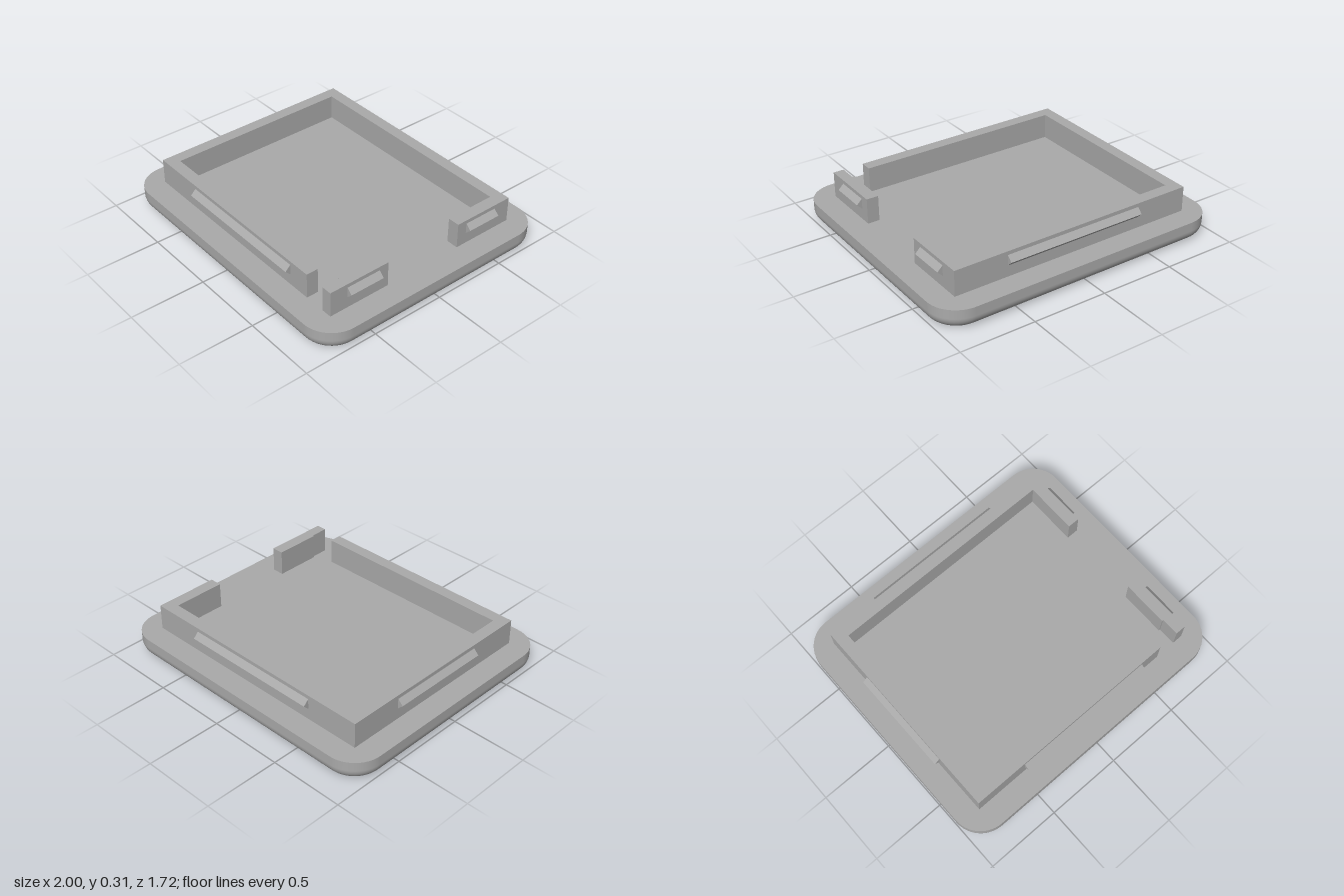
import * as THREE from 'three';

const grey = new THREE.MeshStandardMaterial({ color: 0xaaaaaa });
grey.name = 'plain grey';

const HALF_X = 1, HALF_Z = 0.86, CORNER = 0.2, FILLET = 0.08, BASE_TOP = 0.14, WALL_TOP = 0.31;

function addMesh(parent, name, geometry) {
  const mesh = new THREE.Mesh(geometry, grey);
  mesh.name = name;
  parent.add(mesh);
  return mesh;
}

// Rounded rectangle outline, shrunk by inset: points with their outward direction
function outline(inset) {
  const points = [], steps = 12, r = CORNER - inset;
  const signs = [[1, 1], [-1, 1], [-1, -1], [1, -1]];
  signs.forEach(([sx, sz], q) => {
    for (let i = 0; i <= steps; i++) {
      const a = (q + i / steps) * Math.PI / 2;
      const nx = Math.cos(a), nz = Math.sin(a);
      points.push({ x: sx * (HALF_X - CORNER) + r * nx, z: sz * (HALF_Z - CORNER) + r * nz, nx, nz });
    }
  });
  return points;
}

// Smooth rim of the base: straight side, then a rounded lower edge
function rimGeometry() {
  const rings = [{ y: BASE_TOP, inset: 0, t: 0 }];
  for (let k = 0; k <= 10; k++) {
    const t = k / 10 * Math.PI / 2;
    rings.push({ y: FILLET * (1 - Math.sin(t)), inset: FILLET * (1 - Math.cos(t)), t });
  }
  const position = [], normal = [], index = [];
  const n = outline(0).length;
  rings.forEach(({ y, inset, t }, j) => {
    outline(inset).forEach((p, i) => {
      position.push(p.x, y, p.z);
      normal.push(p.nx * Math.cos(t), -Math.sin(t), p.nz * Math.cos(t));
      if (j === rings.length - 1) return;
      const a = j * n + i, b = j * n + (i + 1) % n;
      index.push(a, b, a + n, b, b + n, a + n);
    });
  });
  const geometry = new THREE.BufferGeometry();
  geometry.setAttribute('position', new THREE.Float32BufferAttribute(position, 3));
  geometry.setAttribute('normal', new THREE.Float32BufferAttribute(normal, 3));
  geometry.setIndex(index);
  return geometry;
}

// Flat face of the base, facing up or down
function capGeometry(inset, up) {
  const shape = new THREE.Shape(outline(inset).map(p => new THREE.Vector2(p.x, p.z)));
  return new THREE.ShapeGeometry(shape).rotateX(up ? -Math.PI / 2 : Math.PI / 2);
}

// Upright wall standing on the base, from a plan of [x, z] corners
function wallGeometry(plan) {
  const shape = new THREE.Shape(plan.map(([x, z]) => new THREE.Vector2(x, -z)));
  return new THREE.ExtrudeGeometry(shape, { depth: WALL_TOP - BASE_TOP, bevelEnabled: false })
    .rotateX(-Math.PI / 2).translate(0, BASE_TOP, 0);
}

// Triangular snap ridge pointing along +x, centred on its length
function ridgeGeometry(length) {
  const shape = new THREE.Shape([[0, 0.215], [0.035, 0.25], [0, 0.285]].map(p => new THREE.Vector2(...p)));
  return new THREE.ExtrudeGeometry(shape, { depth: length, bevelEnabled: false }).translate(0, 0, -length / 2);
}

export function createModel() {
  const model = new THREE.Group();
  model.name = 'snapOnLid';

  // Base plate
  const base = new THREE.Group();
  base.name = 'basePlate';
  addMesh(base, 'baseRim', rimGeometry());
  addMesh(base, 'baseTop', capGeometry(0, true).translate(0, BASE_TOP, 0));
  addMesh(base, 'baseBottom', capGeometry(FILLET, false));
  model.add(base);

  // Long wall around the front, right and back, ending in a short return
  addMesh(model, 'mainWall', wallGeometry([
    [0.635, 0.705], [-0.85, 0.705], [-0.85, -0.71], [0.845, -0.71], [0.845, -0.28],
    [0.765, -0.28], [0.765, -0.63], [-0.77, -0.63], [-0.77, 0.625], [0.635, 0.625],
  ]));

  // Separate wall piece with a small notch at its front
  addMesh(model, 'shortWall', wallGeometry([
    [0.845, 0.705], [0.775, 0.705], [0.775, 0.585], [0.765, 0.585], [0.765, 0.275], [0.845, 0.275],
  ]));

  // Snap ridges on the outer wall faces: name, length, x, z, turn
  const ridges = [
    ['frontRidge', 0.966, 0, 0.705, -Math.PI / 2],
    ['backRidge', 0.966, 0, -0.71, Math.PI / 2],
    ['rightRidge', 0.69, -0.85, -0.005, Math.PI],
    ['leftBackRidge', 0.24, 0.845, -0.47, 0],
    ['leftFrontRidge', 0.24, 0.845, 0.46, 0],
  ];
  for (const [name, length, x, z, turn] of ridges) {
    const ridge = addMesh(model, name, ridgeGeometry(length));
    ridge.position.set(x, 0, z);
    ridge.rotation.y = turn;
  }
  return model;
}
